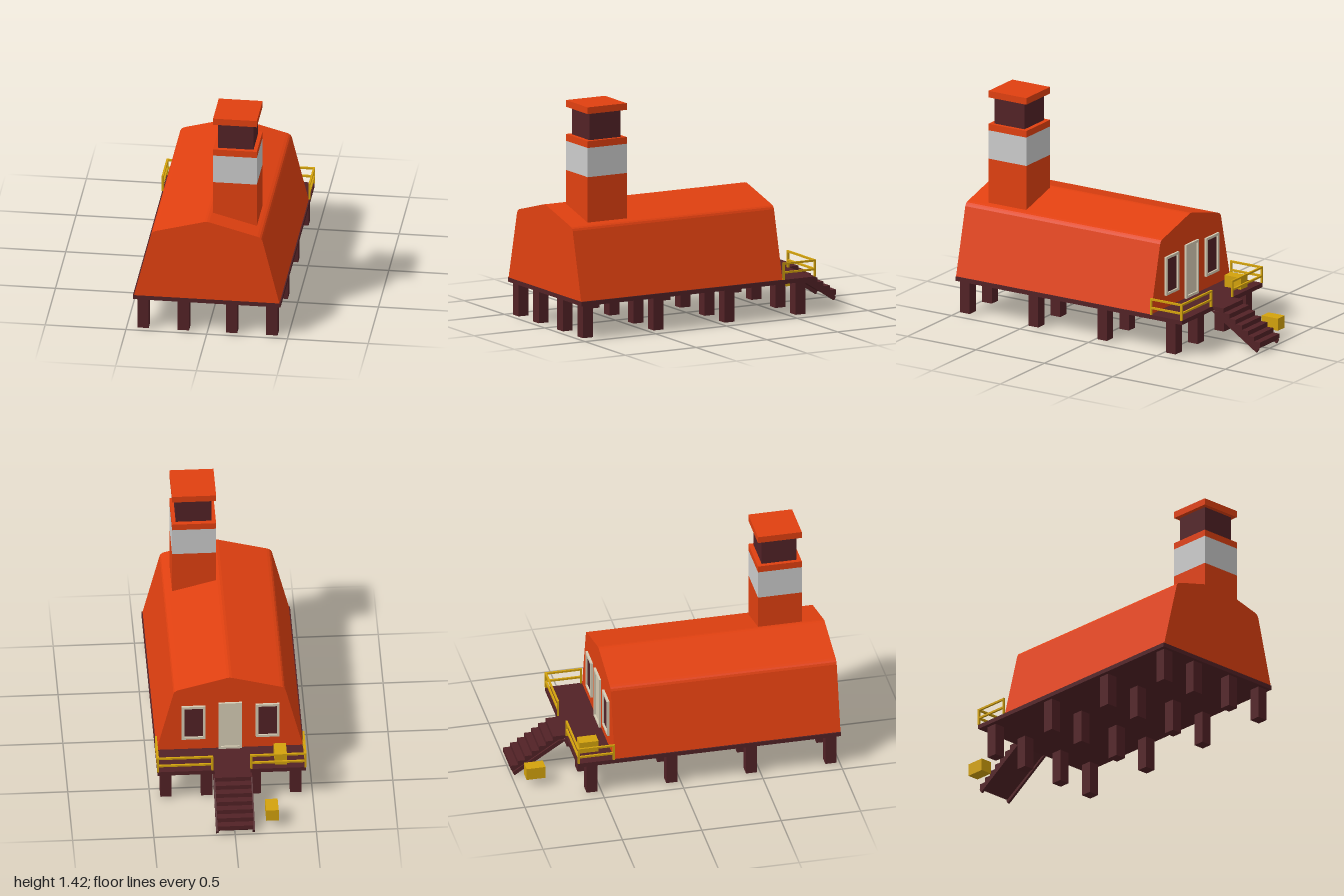
import * as THREE from 'three';

const mat = (color) => new THREE.MeshStandardMaterial({ color, flatShading: true });

export function createModel() {
  const model = new THREE.Group();
  const orange = mat(0xe04010), dark = mat(0x522226), grey = mat(0xcccccc);
  const gold = mat(0xd3a20c), cream = mat(0xd6ccb4);

  const add = (name, geometry, material, parent = model) => {
    const mesh = new THREE.Mesh(geometry, material);
    mesh.name = name;
    parent.add(mesh);
    return mesh;
  };
  // Box given by its lower and upper limits on each axis
  const box = (name, material, [x0, x1], [y0, y1], [z0, z1], parent) => {
    const mesh = add(name, new THREE.BoxGeometry(x1 - x0, y1 - y0, z1 - z0), material, parent);
    mesh.position.set((x0 + x1) / 2, (y0 + y1) / 2, (z0 + z1) / 2);
    return mesh;
  };
  const group = (name) => {
    const g = new THREE.Group();
    g.name = name;
    model.add(g);
    return g;
  };
  const shapeOf = (points) => new THREE.Shape(points.map(([x, y]) => new THREE.Vector2(x, y)));

  // Platform on a 4 x 4 field of piers
  box('platform', dark, [-0.457, 0.457], [0.213, 0.24], [-0.655, 1]);
  const piers = group('piers');
  for (const x of [-0.397, -0.147, 0.151, 0.401])
    for (const z of [0.943, 0.443, -0.059, -0.561])
      box('pier', dark, [x - 0.035, x + 0.035], [0.008, 0.214], [z - 0.035, z + 0.035], piers);

  // Hut with sloping walls, softened eaves and a low ridge
  const half = [[0.45, 0.24], [0.345, 0.664], [0.338, 0.677], [0.328, 0.685], [0.312, 0.691], [0.015, 0.771]];
  const profile = [...half, [0, 0.773], ...half.map(([x, y]) => [-x, y]).reverse()];
  const hut = add('hut', new THREE.ExtrudeGeometry(shapeOf(profile), { depth: 1.423, bevelEnabled: false }), orange);
  hut.position.z = -0.424;

  // Banded tower with a recessed top and a cap
  const tower = group('tower');
  const tx = [0.022, 0.293], tz = [0.587, 0.863];
  box('towerBase', orange, tx, [0.69, 0.98], tz, tower);
  box('towerBand', grey, tx, [0.98, 1.163], tz, tower);
  box('towerRim', orange, tx, [1.163, 1.205], tz, tower);
  box('towerNeck', dark, [0.048, 0.269], [1.205, 1.375], [0.616, 0.836], tower);
  box('towerCap', orange, tx, [1.375, 1.417], tz, tower);

  // Door and windows in the back wall: a frame around a thin panel
  const opening = (name, x, w, y0, y1, panel) => {
    const g = group(name), t = 0.016;
    const frame = shapeOf([[-w / 2, y0], [w / 2, y0], [w / 2, y1], [-w / 2, y1]]);
    frame.holes.push(new THREE.Path([
      [-w / 2 + t, y0 + t], [-w / 2 + t, y1 - t], [w / 2 - t, y1 - t], [w / 2 - t, y0 + t],
    ].map(([a, b]) => new THREE.Vector2(a, b))));
    const f = add('frame', new THREE.ExtrudeGeometry(frame, { depth: 0.018, bevelEnabled: false }), cream, g);
    f.position.set(x, 0, -0.438);
    box('panel', panel, [x - w / 2 + t, x + w / 2 - t], [y0 + t, y1 - t], [-0.428, -0.42], g);
  };
  opening('leftWindow', 0.222, 0.146, 0.32, 0.568, dark);
  opening('rightWindow', -0.234, 0.146, 0.32, 0.568, dark);
  opening('door', -0.004, 0.146, 0.24, 0.586, cream);

  // Stairs: saw-toothed flight between two sloping stringers
  const stairs = group('stairs');
  const steps = [[0.65, 0.24]];
  for (let i = 0; i < 7; i++) {
    const z = 0.734 + i * 0.0443, y = 0.24 - i * 0.0292;
    steps.push([z, y], [z, y - 0.0292]);
  }
  steps.push([0.985, 0.022], [0.66, 0.222]);
  const side = (name, points, width, x) => {
    const geometry = new THREE.ExtrudeGeometry(shapeOf(points), { depth: width, bevelEnabled: false });
    const mesh = add(name, geometry.translate(0, 0, -width / 2).rotateY(Math.PI / 2), dark, stairs);
    mesh.position.x = x;
  };
  side('flight', steps, 0.22, -0.004);
  const stringer = [[0.65, 0.213], [0.98, 0], [0.992, 0.022], [0.7, 0.213]];
  for (const s of [-1, 1]) side('stringer', stringer, 0.016, -0.004 + s * 0.112);

  // Two-rail guard around the back deck, mirrored left and right
  const railing = group('railing');
  const r = 0.006, wallZ = -0.43, backZ = -0.651;
  for (const s of [-1, 1]) {
    const outer = s * 0.454, inner = s * 0.12;
    for (const [x, z] of [[outer, wallZ], [outer, backZ], [inner, backZ]])
      box('post', gold, [x - r, x + r], [0.24, 0.346], [z - r, z + r], railing);
    for (const y of [0.34, 0.285]) {
      box('sideRail', gold, [outer - r, outer + r], [y - r, y + r], [backZ, wallZ], railing);
      box('backRail', gold, [Math.min(outer, inner), Math.max(outer, inner)], [y - r, y + r],
        [backZ - r, backZ + r], railing);
    }
  }

  // Supply crates, one on the deck and one beside the stairs
  box('deckCrate', gold, [-0.342, -0.267], [0.24, 0.315], [-0.62, -0.5]);
  box('lowerCrate', gold, [-0.272, -0.195], [0.05, 0.128], [-0.937, -0.818]);

  return model;
}
